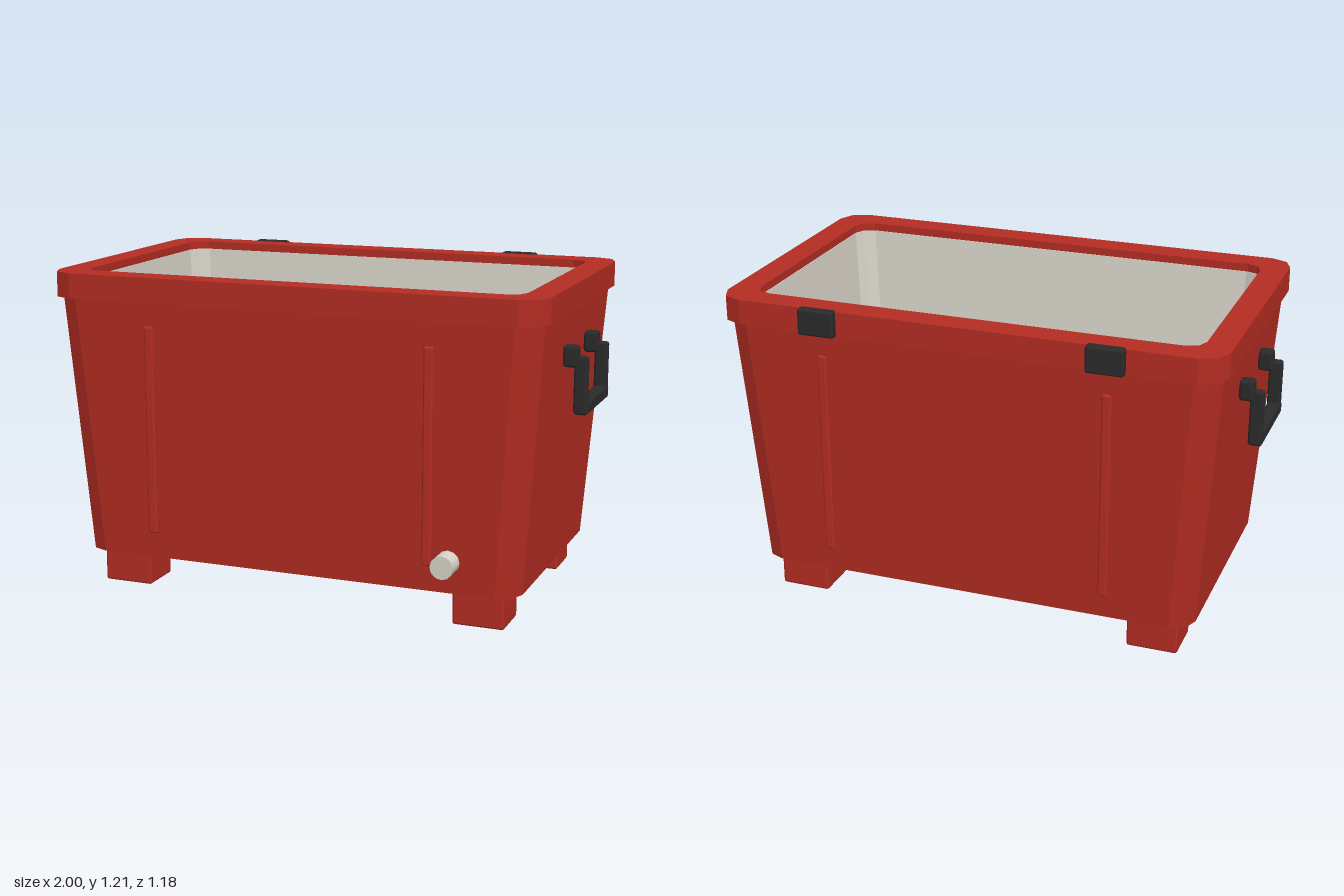
import * as THREE from 'three';
import { RoundedBoxGeometry } from 'three/addons/geometries/RoundedBoxGeometry.js';

const CZ = 0.007; // centre line of the tub along z

// Rounded rectangle at height y: half sizes a, b and corner radius r
function ring(y, a, b, r) {
  const pts = [];
  const corners = [[1, 1], [-1, 1], [-1, -1], [1, -1]];
  corners.forEach(([sx, sz], c) => {
    for (let k = 0; k <= 2; k++) {
      const t = (c + k / 2) * Math.PI / 2;
      pts.push([sx * (a - r) + r * Math.cos(t), y, CZ + sz * (b - r) + r * Math.sin(t)]);
    }
  });
  return pts;
}

// Faceted skin through a list of rings; upward order faces outward
function loft(rings) {
  const pos = [];
  for (let k = 0; k < rings.length - 1; k++) {
    const lo = rings[k], hi = rings[k + 1], n = lo.length;
    for (let i = 0; i < n; i++) {
      const j = (i + 1) % n;
      pos.push(...lo[i], ...hi[i], ...hi[j], ...lo[i], ...hi[j], ...lo[j]);
    }
  }
  const g = new THREE.BufferGeometry();
  g.setAttribute('position', new THREE.Float32BufferAttribute(pos, 3));
  g.computeVertexNormals();
  return g;
}

export function createModel() {
  const model = new THREE.Group();
  model.name = 'coolerTub';
  const material = (name, color) => {
    const m = new THREE.MeshStandardMaterial({ color });
    m.name = name;
    return m;
  };
  const red = material('red plastic', 0xb52d23);
  const cream = material('cream liner', 0xd8d4ca);
  const black = material('black rubber', 0x2b2b2b);

  const add = (name, geometry, mat, parent = model) => {
    const mesh = new THREE.Mesh(geometry, mat);
    mesh.name = name;
    parent.add(mesh);
    return mesh;
  };
  const box = (name, mat, size, at, radius, parent) =>
    add(name, new RoundedBoxGeometry(...size, 1, radius), mat, parent).position.set(...at);

  // Tapered shell with a pale underside
  const base = ring(0.13, 0.85, 0.5, 0.08);
  add('body', loft([base, ring(1.11, 0.92, 0.553, 0.085)]), red);
  add('underside', loft([ring(0.13, 0, 0, 0), base]), cream);

  // Rim: closed band with an opening
  const rimFoot = ring(1.107, 0.94, 0.569, 0.09);
  add('rim', loft([
    rimFoot, ring(1.2, 0.94, 0.569, 0.09),
    ring(1.2, 0.84, 0.466, 0.06), ring(1.107, 0.84, 0.466, 0.06), rimFoot,
  ]), red);

  // Inner liner, walls and floor
  add('liner', loft([
    ring(1.17, 0.84, 0.466, 0.06), ring(1.17, 0.837, 0.463, 0.06),
    ring(0.17, 0.77, 0.395, 0.06), ring(0.17, 0, 0, 0),
  ]), cream);

  for (const s of [-1, 1]) {
    // Feet and ribs on the front and back
    for (const f of [-1, 1]) {
      box('foot', red, [0.193, 0.15, 0.172], [s * 0.698, 0.075, 0.008 + f * 0.372], 0.01);
      box('rib', red, [0.036, 0.78, 0.026], [s * 0.535, 0.63, 0.008 + f * 0.546], 0.008);
    }

    // Latch on the back of the rim
    box('latch', black, [0.14, 0.1, 0.042], [s * 0.535, 1.155, -0.568], 0.01);

    // Side handle: two brackets, two uprights and a grip
    const handle = new THREE.Group();
    handle.name = s > 0 ? 'leftHandle' : 'rightHandle';
    model.add(handle);
    for (const f of [-1, 1]) {
      const z = CZ + f * 0.155;
      box('bracket', black, [0.055, 0.078, 0.055], [s * 0.935, 0.945, z], 0.012, handle);
      box('upright', black, [0.05, 0.21, 0.036], [s * 0.973, 0.842, z], 0.01, handle);
    }
    box('grip', black, [0.05, 0.048, 0.346], [s * 0.975, 0.759, CZ], 0.01, handle);
  }

  // Drain plug low on the front
  const plug = add('drainPlug', new THREE.CylinderGeometry(0.043, 0.043, 0.085, 12), cream);
  plug.rotation.x = Math.PI / 2;
  plug.position.set(0.6, 0.247, 0.547);

  return model;
}
